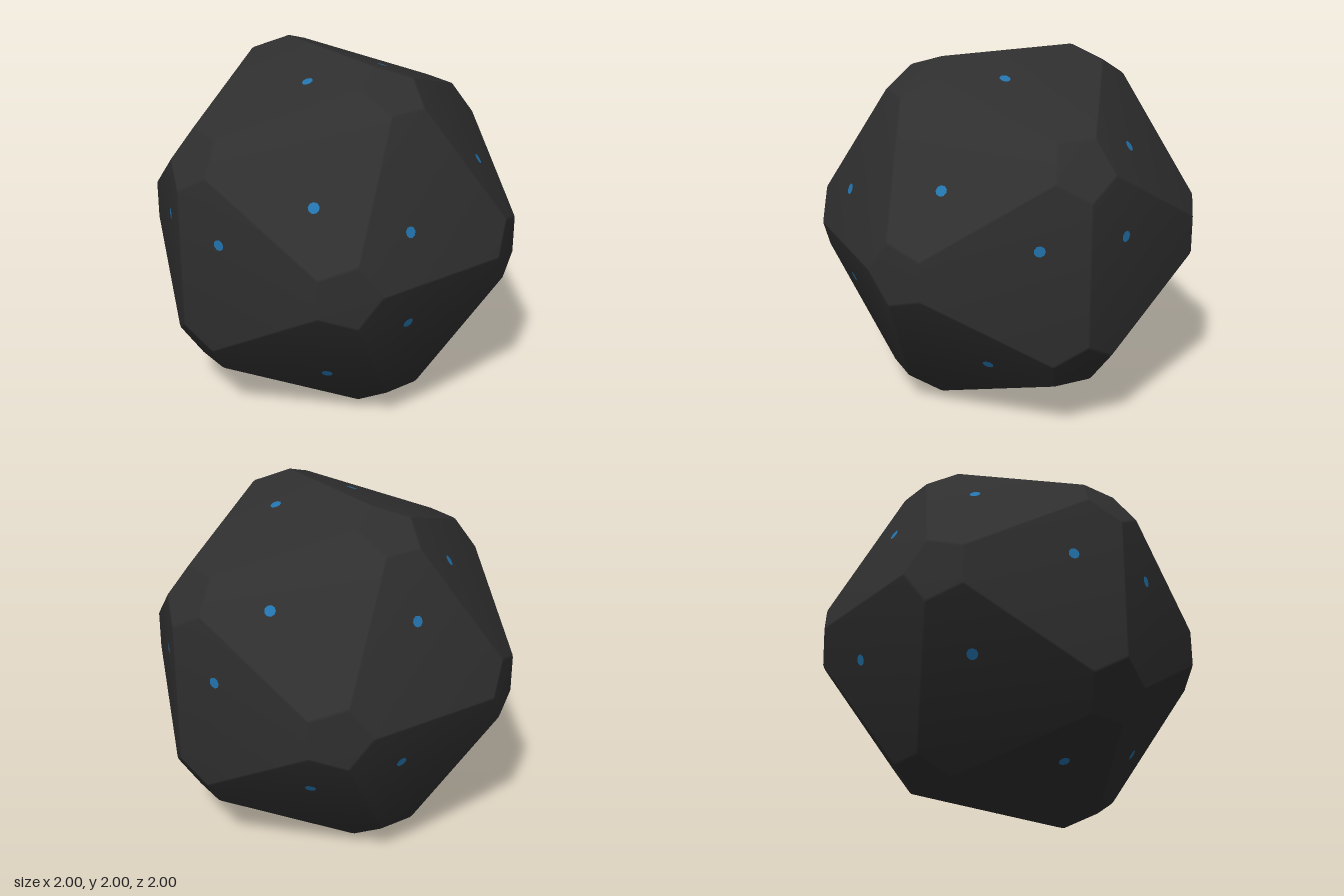
import * as THREE from 'three';
import { ConvexGeometry } from 'three/addons/geometries/ConvexGeometry.js';

const PHI = (1 + Math.sqrt(5)) / 2;
const CUT = 0.176;     // share of each edge removed at a corner
const BEVEL = 0.01;    // inset that softens every edge
const SOFTEN = 0.2;    // how far normals lean outward near the edges

// Corners of an icosahedron whose extent is 2 on every axis
function icosahedronCorners() {
  const out = [];
  for (const a of [-1, 1]) for (const b of [-1, 1]) {
    const s = a / PHI;
    out.push(new THREE.Vector3(b, s, 0), new THREE.Vector3(0, b, s), new THREE.Vector3(s, 0, b));
  }
  return out;
}

// Large trimmed triangles and small corner pentagons, as lists of points
function buildFaces() {
  const V = icosahedronCorners();
  const near = (a, b) => a !== b && a.distanceTo(b) < 1.3;
  const cut = (a, b) => a.clone().lerp(b, CUT);
  const pentagons = V.map((v) => V.filter((n) => near(v, n)).map((n) => cut(v, n)));
  const triangles = [];
  V.forEach((a, i) => V.forEach((b, j) => V.forEach((c, k) => {
    if (i < j && j < k && near(a, b) && near(b, c) && near(a, c)) {
      triangles.push([cut(a, b), cut(b, a), cut(b, c), cut(c, b), cut(c, a), cut(a, c)]);
    }
  })));
  return [...pentagons, ...triangles].map((points) => {
    const centre = points.reduce((s, p) => s.add(p), new THREE.Vector3()).divideScalar(points.length);
    return { points, centre, normal: centre.clone().normalize(), large: points.length === 6 };
  });
}

// Solid with a fine bevel; each bevelled corner takes its own face's normal
function bodyGeometry(faces) {
  const corners = [];
  for (const f of faces) for (const p of f.points) {
    const q = p.clone().add(f.centre.clone().sub(p).setLength(BEVEL));
    const n = f.normal.clone().lerp(q.clone().normalize(), SOFTEN).normalize();
    corners.push({ q, n });
  }
  const geo = new ConvexGeometry(corners.map((c) => c.q));
  const pos = geo.attributes.position, p = new THREE.Vector3();
  for (let i = 0; i < pos.count; i++) {
    p.fromBufferAttribute(pos, i);
    let best = corners[0];
    for (const c of corners) {
      if (c.q.distanceToSquared(p) < best.q.distanceToSquared(p)) best = c;
    }
    geo.attributes.normal.setXYZ(i, best.n.x, best.n.y, best.n.z);
  }
  return geo;
}

// One dot on each large face
const DOTS = [
  [-0.15, 0.265, 0.9], [-0.15, -0.26, 0.9], [0, 0.49, -0.82], [0.145, -0.26, -0.9],
  [0.905, 0.155, 0.25], [0.905, 0.155, -0.26], [-0.91, 0.155, 0.25], [-0.91, 0.155, -0.27],
  [0.26, 0.905, 0.14], [-0.26, 0.905, 0.15], [0.26, -0.9, 0.155], [-0.48, -0.82, 0],
  [0.555, 0.43, 0.64], [-0.575, 0.42, 0.64], [0.65, 0.565, -0.42], [-0.41, 0.65, -0.555],
  [0.635, -0.57, 0.42], [-0.425, -0.645, 0.55], [0.56, -0.41, -0.65], [-0.55, -0.41, -0.66],
];

export function createModel() {
  const charcoal = new THREE.MeshStandardMaterial({ color: 0x2f2f2f });
  charcoal.name = 'charcoal';
  const blue = new THREE.MeshStandardMaterial({ color: 0x2274ae });
  blue.name = 'blue';

  const model = new THREE.Group();
  model.name = 'truncatedIcosahedron';
  const faces = buildFaces();

  const body = new THREE.Mesh(bodyGeometry(faces), charcoal);
  body.name = 'body';
  body.position.y = 1;
  model.add(body);

  // Flat dots laid just above their faces
  const dots = new THREE.Group();
  dots.name = 'faceDots';
  dots.position.y = 1;
  const disc = new THREE.CircleGeometry(0.031, 9);
  const front = new THREE.Vector3(0, 0, 1);
  const large = faces.filter((f) => f.large);
  for (const d of DOTS) {
    const p = new THREE.Vector3(...d);
    const face = large.reduce((a, b) => (b.normal.dot(p) > a.normal.dot(p) ? b : a));
    const lift = face.centre.length() + 0.003 - p.dot(face.normal);
    const dot = new THREE.Mesh(disc, blue);
    dot.name = 'faceDot';
    dot.position.copy(p).addScaledVector(face.normal, lift);
    dot.quaternion.setFromUnitVectors(front, face.normal);
    dots.add(dot);
  }
  model.add(dots);
  return model;
}
